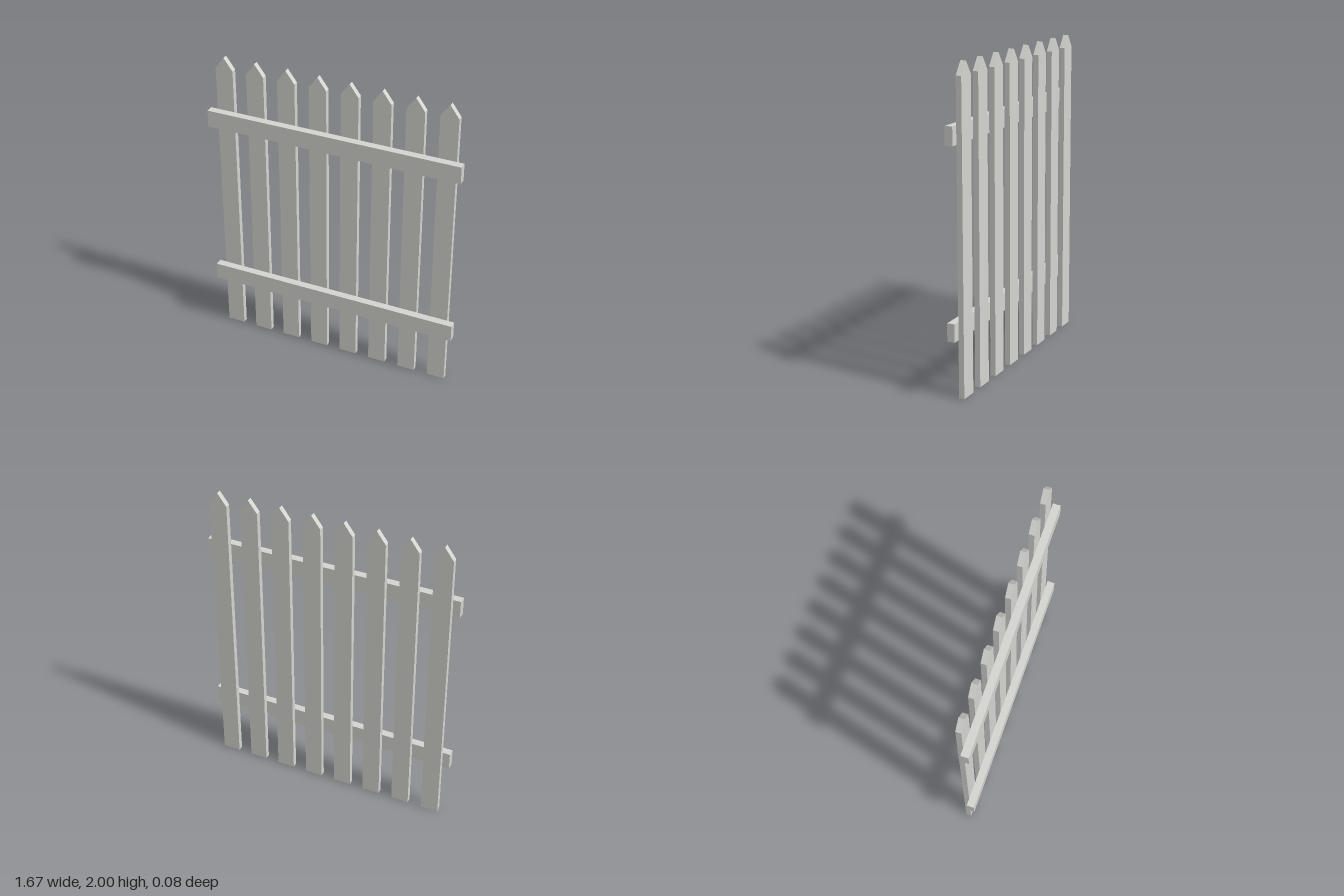
import * as THREE from 'three';

export function createModel() {
  const fence = new THREE.Group();
  fence.name = 'picketFence';
  const wood = new THREE.MeshStandardMaterial({ color: 0xd5d5d1 });
  wood.name = 'paleGreyWood';

  const back = -0.042, joint = -0.007, front = 0.042;

  // Pointed picket profile, extruded to board thickness
  const w = 0.058;
  const profile = new THREE.Shape([
    new THREE.Vector2(-w, 0),
    new THREE.Vector2(w, 0),
    new THREE.Vector2(w, 1.92),
    new THREE.Vector2(0, 2),
    new THREE.Vector2(-w, 1.92),
  ]);
  const picketGeometry = new THREE.ExtrudeGeometry(profile, { depth: joint - back, bevelEnabled: false });

  // Eight evenly spaced pickets
  const count = 8, spacing = 0.208;
  for (let i = 0; i < count; i++) {
    const picket = new THREE.Mesh(picketGeometry, wood);
    picket.name = `picket${i + 1}`;
    picket.position.set((i - (count - 1) / 2) * spacing, 0, back);
    fence.add(picket);
  }

  // Two horizontal rails across the front
  const railGeometry = new THREE.BoxGeometry(1.666, 0.113, front - joint);
  for (const [name, y] of [['lowerRail', 0.419], ['upperRail', 1.583]]) {
    const rail = new THREE.Mesh(railGeometry, wood);
    rail.name = name;
    rail.position.set(0, y, (front + joint) / 2);
    fence.add(rail);
  }

  return fence;
}
